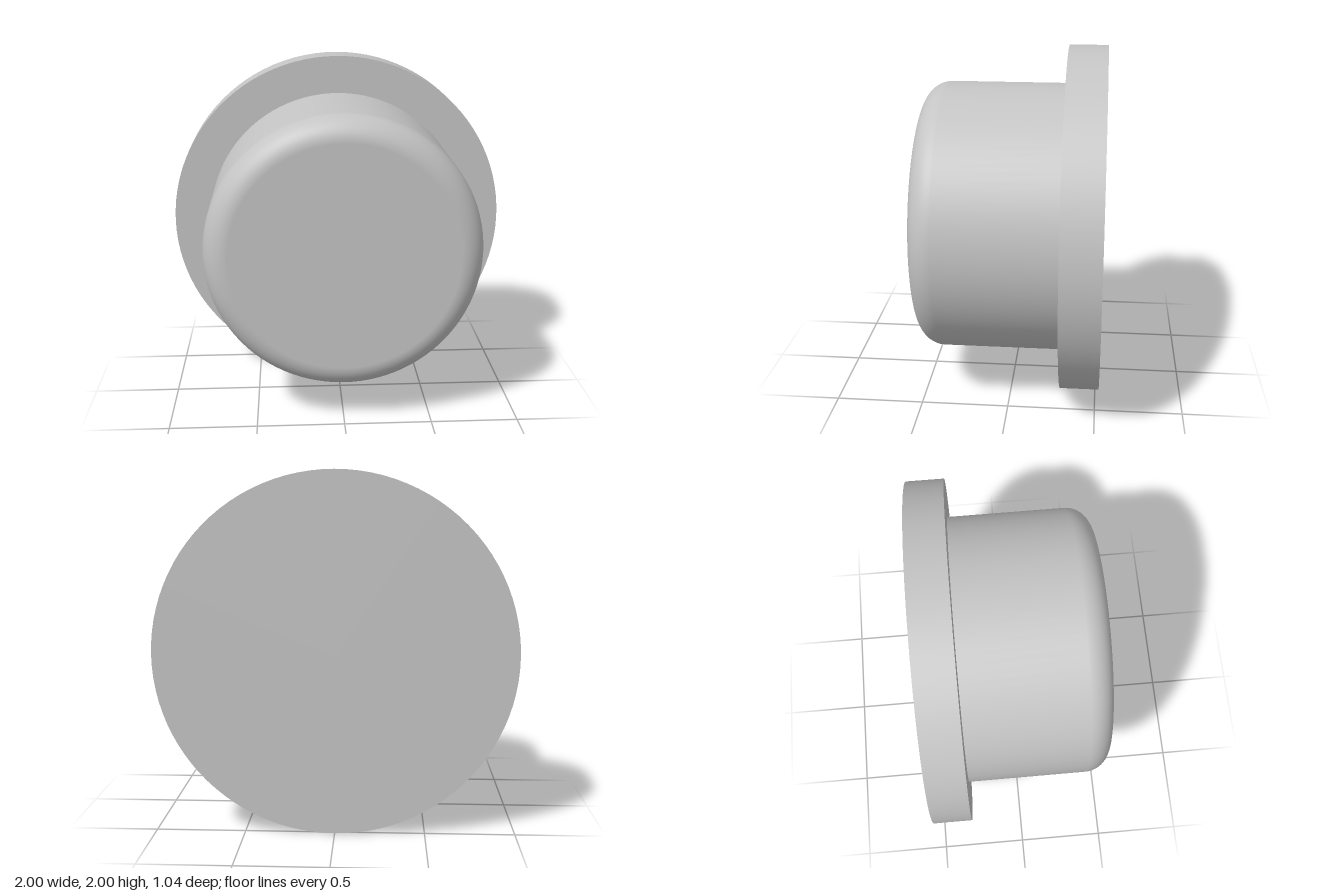
import * as THREE from 'three';

export function createModel() {
  const group = new THREE.Group();
  group.name = 'flangedPlug';
  const grey = new THREE.MeshStandardMaterial({ color: 0xc4c4c4 });
  grey.name = 'plain grey';

  const back = -0.52, step = -0.30, front = 0.52;
  const plugRadius = 0.78, fillet = 0.14, sides = 96;

  // Wide disc at the back
  const disc = new THREE.CylinderGeometry(1, 1, step - back, sides);
  disc.rotateX(Math.PI / 2);
  const flange = new THREE.Mesh(disc, grey);
  flange.name = 'flange';
  flange.position.set(0, 1, (back + step) / 2);
  group.add(flange);

  // Round plug with a filleted front edge
  const profile = [new THREE.Vector2(plugRadius, step)];
  const arcSteps = 16;
  for (let i = 0; i <= arcSteps; i++) {
    const a = (i / arcSteps) * Math.PI / 2;
    profile.push(new THREE.Vector2(
      plugRadius - fillet + fillet * Math.cos(a),
      front - fillet + fillet * Math.sin(a)
    ));
  }
  profile.push(new THREE.Vector2(0, front));
  const body = new THREE.LatheGeometry(profile, sides);
  body.rotateX(Math.PI / 2);
  const plug = new THREE.Mesh(body, grey);
  plug.name = 'plug';
  plug.position.y = 1;
  group.add(plug);

  return group;
}
